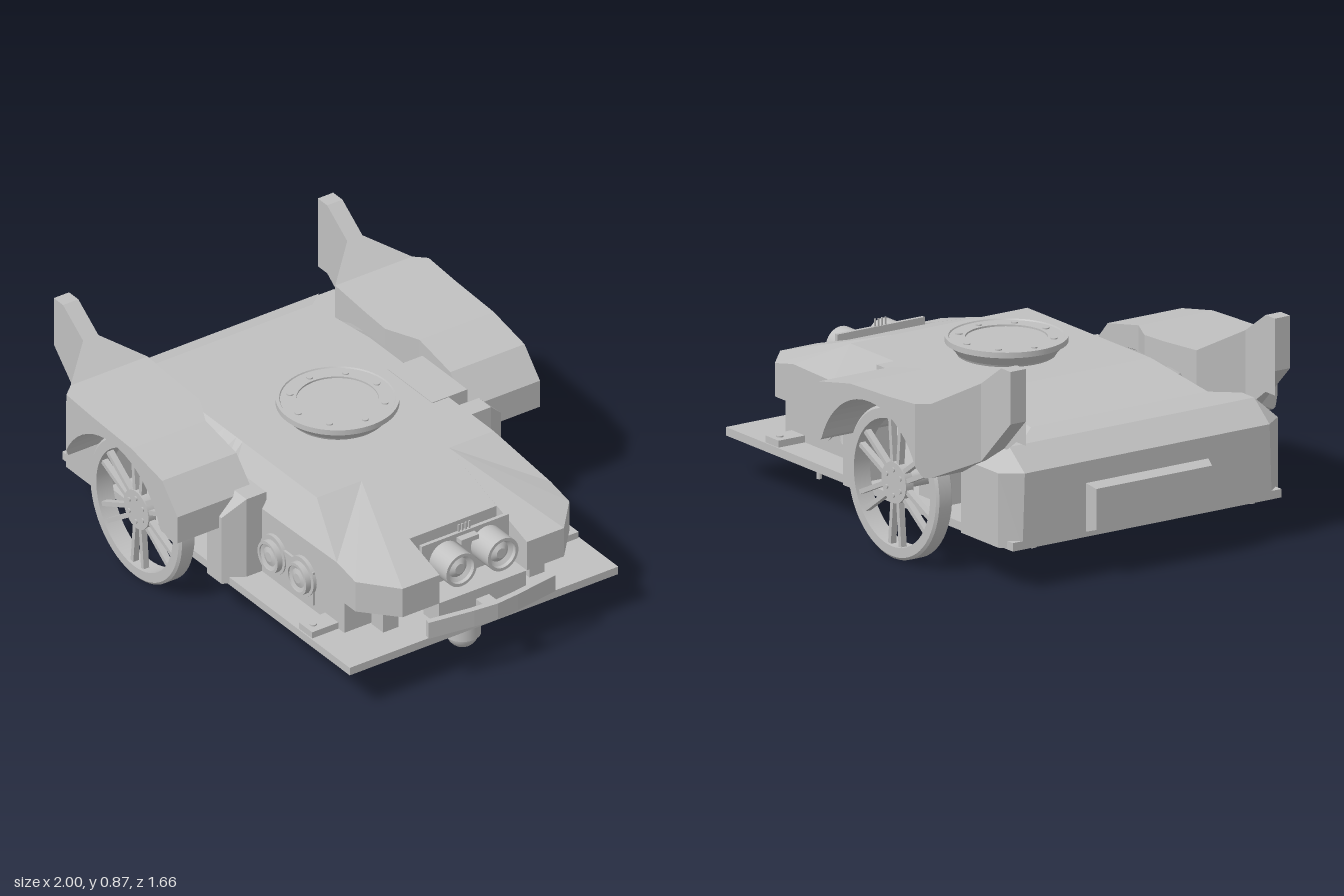
import * as THREE from 'three';
import { ConvexGeometry } from 'three/addons/geometries/ConvexGeometry.js';

const V = (x, y, z) => new THREE.Vector3(x, y, z);
const grey = new THREE.MeshStandardMaterial({ color: 0xc0c0c0, side: THREE.DoubleSide });
grey.name = 'silver grey';

export function createModel() {
  const model = new THREE.Group();
  const add = (name, geo, parent = model) => {
    const m = new THREE.Mesh(geo, grey);
    m.name = name;
    parent.add(m);
    return m;
  };
  // box from its limits
  const box = (name, x0, x1, y0, y1, z0, z1) => add(name,
    new THREE.BoxGeometry(x1 - x0, y1 - y0, Math.abs(z1 - z0))
      .translate((x0 + x1) / 2, (y0 + y1) / 2, (z0 + z1) / 2));
  // cylinder along an axis
  const cyl = (name, axis, r, len, x, y, z, parent) => {
    const g = new THREE.CylinderGeometry(r, r, len, 32);
    if (axis === 'z') g.rotateX(Math.PI / 2);
    return add(name, g.translate(x, y, z), parent);
  };
  // flat faces, each a fan of corners
  const faces = (list) => {
    const p = [];
    for (const f of list) for (let i = 1; i < f.length - 1; i++)
      for (const c of [f[0], f[i], f[i + 1]]) p.push(...c);
    const g = new THREE.BufferGeometry();
    g.setAttribute('position', new THREE.Float32BufferAttribute(p, 3));
    g.computeVertexNormals();
    return g;
  };
  // lathe about the y axis with crisp edges
  const ring = (pts, n = 64) => {
    const g = new THREE.BufferGeometry(), p = [], nor = [], at = (q, a, arr, y) =>
      arr.push(q * Math.cos(a), y, q * Math.sin(a));
    for (let k = 0; k < pts.length - 1; k++) {
      const [r0, y0] = pts[k], [r1, y1] = pts[k + 1], l = Math.hypot(r1 - r0, y1 - y0);
      for (let i = 0; i < n; i++) {
        const a = i / n * 2 * Math.PI, b = (i + 1) / n * 2 * Math.PI;
        for (const [r, y, t] of [[r0, y0, a], [r1, y1, a], [r1, y1, b], [r0, y0, a], [r1, y1, b], [r0, y0, b]]) {
          at(r, t, p, y);
          at((y1 - y0) / l, t, nor, (r0 - r1) / l);
        }
      }
    }
    g.setAttribute('position', new THREE.Float32BufferAttribute(p, 3));
    g.setAttribute('normal', new THREE.Float32BufferAttribute(nor, 3));
    return g;
  };
  const lerpKeys = (keys, x) => {
    for (let i = 1; i < keys.length; i++) if (x <= keys[i][0]) {
      const [a, b] = [keys[i - 1], keys[i]];
      return a[1] + (b[1] - a[1]) * (x - a[0]) / (b[0] - a[0]);
    }
    return keys[keys.length - 1][1];
  };
  // height of the wheel arch over x
  const arch = (x) => {
    const d = 0.33 ** 2 - (x + 0.325) ** 2;
    return d > 0 ? 0.305 + Math.sqrt(d) : 0;
  };

  // base plate
  box('basePlate', -0.95, 0.91, 0.165, 0.198, -0.615, 0.615);

  // roof, chamfers, nose, with a notch for the front sensor
  const ridge = [[-0.85, 0.545], [-0.77, 0.57], [-0.4, 0.612], [0.4, 0.612]];
  const roof = [
    [[-0.4, 0.612, -0.405], [-0.4, 0.612, 0.405], [0.4, 0.612, 0.405], [0.4, 0.612, -0.405]],
    [[-0.77, 0.57, -0.405], [-0.77, 0.57, 0.405], [-0.4, 0.612, 0.405], [-0.4, 0.612, -0.405]],
    [[-0.85, 0.545, -0.49], [-0.85, 0.545, 0.49], [-0.77, 0.57, 0.405], [-0.77, 0.57, -0.405]],
    [[0.4, 0.612, -0.2], [0.4, 0.612, 0.2], [0.71, 0.515, 0.2], [0.71, 0.515, -0.2]],
    [[0.71, 0.515, -0.2], [0.71, 0.515, 0.2], [0.71, 0.33, 0.2], [0.71, 0.33, -0.2]],
    [[0.7, 0.33, -0.49], [0.7, 0.33, 0.49], [0.77, 0.33, 0.49], [0.905, 0.33, 0.37], [0.905, 0.33, -0.37], [0.77, 0.33, -0.49]],
    [[0.7, 0.2, -0.49], [0.7, 0.2, 0.49], [0.7, 0.33, 0.49], [0.7, 0.33, -0.49]],
  ];
  const chamferX = [-0.77, -0.65, -0.62, -0.58, -0.5, -0.4, -0.2, -0.12, -0.08, -0.04, 0.4];
  for (const s of [1, -1]) {
    const low = (x) => [x, Math.min(0.575, Math.max(0.47, arch(x))), s * 0.49];
    const high = (x) => [x, lerpKeys(ridge, x), s * 0.405];
    for (let i = 1; i < chamferX.length; i++) {
      const [a, b] = [chamferX[i - 1], chamferX[i]];
      roof.push([high(a), low(a), low(b), high(b)]);
    }
    roof.push(
      [high(0.4), low(0.4), [0.65, 0.485, s * 0.49]],
      [[0.4, 0.612, s * 0.2], [0.4, 0.612, s * 0.405], [0.65, 0.485, s * 0.49], [0.77, 0.46, s * 0.49],
        [0.905, 0.455, s * 0.37], [0.905, 0.455, s * 0.2], [0.71, 0.515, s * 0.2]],
      [[0.77, 0.46, s * 0.49], [0.905, 0.455, s * 0.37], [0.905, 0.33, s * 0.37], [0.77, 0.33, s * 0.49]],
      [[0.905, 0.455, s * 0.37], [0.905, 0.455, s * 0.2], [0.905, 0.33, s * 0.2], [0.905, 0.33, s * 0.37]],
      [[0.71, 0.515, s * 0.2], [0.905, 0.455, s * 0.2], [0.905, 0.33, s * 0.2], [0.71, 0.33, s * 0.2]],
      // side wall ahead of the wheel
      [[0, 0.47, s * 0.49], [0, 0.19, s * 0.49], [0.7, 0.19, s * 0.49], [0.7, 0.33, s * 0.49],
        [0.7, 0.475, s * 0.49], [0.65, 0.485, s * 0.49], [0.4, 0.47, s * 0.49]],
      [[0.7, 0.33, s * 0.49], [0.77, 0.33, s * 0.49], [0.77, 0.46, s * 0.49], [0.7, 0.475, s * 0.49]]);
  }
  add('bodyShell', faces(roof));
  box('roofPanel', -0.18, 0.11, 0.56, 0.615, -0.49, -0.33);

  // rear body block and panel
  const rear = [];
  for (const s of [1, -1]) rear.push(
    V(-0.95, 0.17, s * 0.57), V(-0.95, 0.46, s * 0.56), V(-0.89, 0.17, s * 0.64), V(-0.89, 0.46, s * 0.64),
    V(-0.65, 0.17, s * 0.64), V(-0.65, 0.46, s * 0.64), V(-0.85, 0.54, s * 0.56), V(-0.65, 0.54, s * 0.56));
  add('rearBody', new ConvexGeometry(rear));
  const panel = [];
  for (const s of [1, -1]) panel.push(V(-0.95, 0.185, s * 0.28), V(-0.95, 0.375, s * 0.28),
    V(-0.995, 0.2, s * 0.265), V(-0.995, 0.36, s * 0.265));
  add('rearPanel', new ConvexGeometry(panel));

  // turret ring with bolts
  const turret = new THREE.Group();
  turret.name = 'turretRing';
  turret.position.set(-0.038, 0, 0);
  model.add(turret);
  add('ringFlange', ring([[0.185, 0.61], [0.19, 0.62], [0.218, 0.655], [0.232, 0.66], [0.232, 0.682], [0.218, 0.682],
    [0.215, 0.677], [0.155, 0.677], [0.155, 0.67], [0, 0.67]]), turret);
  for (let i = 0; i < 8; i++) {
    const a = i * Math.PI / 4;
    cyl('ringBolt', 'y', 0.013, 0.006, 0.18 * Math.cos(a), 0.679, 0.18 * Math.sin(a), turret);
  }

  // ultrasonic eye: stepped barrel, facing +y before turning
  const eye = (r, len) => ring([[0, 0], [r, 0], [r, len], [r * 0.82, len], [r * 0.82, len * 0.85],
    [r * 0.6, len * 0.75], [r * 0.3, len * 0.9], [0, len * 0.9]], 32);

  // front sensor
  box('frontSensorBoard', 0.775, 0.79, 0.335, 0.52, -0.2, 0.2);
  for (const s of [1, -1])
    add('frontSensorEye', eye(0.07, 0.11).rotateZ(-Math.PI / 2).translate(0.79, 0.435, s * 0.095));
  for (let i = 0; i < 4; i++) {
    const z = -0.024 + i * 0.016;
    box('sensorPin', 0.778, 0.784, 0.5, 0.55, z - 0.003, z + 0.003);
  }
  box('sensorCrystal', 0.79, 0.82, 0.485, 0.505, -0.04, 0.04);

  // bumper bar, stem and mount
  const bar = new THREE.Shape([[0.99, -0.1], [1, 0], [0.99, 0.1], [0.962, 0.29], [0.937, 0.285], [0.965, 0.1],
    [0.973, 0], [0.965, -0.1], [0.937, -0.285], [0.962, -0.29]].map(([x, z]) => new THREE.Vector2(x, z)));
  add('bumper', new THREE.ExtrudeGeometry(bar, { depth: 0.07, bevelEnabled: false })
    .rotateX(Math.PI / 2).translate(0, 0.305, 0));
  box('bumperStem', 0.85, 0.975, 0.255, 0.285, -0.03, 0.03);
  box('bumperMount', 0.8, 0.9, 0.23, 0.33, -0.2, 0.2);

  for (const s of [1, -1]) {
    // block in front of the wheel
    const blk = [];
    for (const [x, z] of [[0.02, 0.64], [0.115, 0.64], [0.165, 0.56], [0.165, 0.47], [0.02, 0.47]])
      blk.push(V(x, 0.17, s * z), V(x, 0.46, s * z), V(x, 0.54, s * Math.min(z, 0.56)));
    add('wheelFrontBlock', new ConvexGeometry(blk));

    // fender: rectangular sections along x
    const top = [[-0.97, 0.875], [-0.91, 0.875], [-0.66, 0.7], [-0.45, 0.685], [-0.2, 0.675], [0, 0.635], [0.1, 0.525]];
    const inner = [[-0.97, 0.57], [-0.78, 0.57], [-0.66, 0.43], [-0.33, 0.425], [-0.2, 0.49], [0.1, 0.49]];
    const outer = [[-0.97, 0.64], [-0.78, 0.64], [-0.62, 0.83], [0.1, 0.83]];
    const under = [[-0.97, 0.67], [-0.78, 0.48], [-0.66, 0.41], [0.1, 0.41]];
    const xs = [-0.97, -0.91, -0.78, -0.66, -0.635, -0.62, -0.45, -0.33, -0.2, 0, 0.1];
    for (let i = 0; i <= 24; i++) xs.push(-0.325 - 0.32 * Math.cos(i / 24 * Math.PI));
    xs.sort((a, b) => a - b);
    const secs = xs.map((x) => {
      const yb = Math.max(lerpKeys(under, x), arch(x));
      const yt = lerpKeys(top, x), zi = s * lerpKeys(inner, x), zo = s * lerpKeys(outer, x);
      return [[x, yb, zi], [x, yb, zo], [x, yt, zo], [x, yt, zi]];
    });
    const fl = [secs[0], secs[secs.length - 1]];
    for (let i = 1; i < secs.length; i++) {
      const [a, b] = [secs[i - 1], secs[i]];
      for (let k = 0; k < 4; k++) fl.push([a[k], a[(k + 1) % 4], b[(k + 1) % 4], b[k]]);
      // liner closing the gap down to the roof
      const drop = ([x, y, z]) => [x, Math.min(y, 0.575), z];
      if (a[0][1] > 0.575 || b[0][1] > 0.575) fl.push([a[0], b[0], drop(b[0]), drop(a[0])]);
    }
    add('fender', faces(fl));

    // wheel: rim, paired spokes, hub
    const wheel = new THREE.Group();
    wheel.name = 'wheel';
    wheel.position.set(-0.325, 0.3, s * 0.69);
    model.add(wheel);
    add('rim', ring([[0.247, -0.037], [0.285, -0.037], [0.295, -0.028], [0.295, 0.028], [0.285, 0.037], [0.247, 0.037],
      [0.247, -0.037]]).rotateX(Math.PI / 2), wheel);
    cyl('hub', 'z', 0.08, 0.035, 0, 0, s * 0.012, wheel);
    for (let i = 0; i < 6; i++) {
      const a = i * Math.PI / 3 + Math.PI / 2;
      for (const o of [-1, 1]) {
        const g = new THREE.BoxGeometry(0.19, 0.018, 0.025).translate(0.16, 0, 0).rotateZ(o * 0.09)
          .translate(0, o * 0.012, s * 0.012).rotateZ(a);
        add('spoke', g, wheel);
      }
      cyl('hubBolt', 'z', 0.009, 0.006, 0.05 * Math.cos(a), 0.05 * Math.sin(a), s * 0.032, wheel);
    }
    cyl('axle', 'z', 0.03, 0.2, -0.325, 0.3, s * 0.6);
    box('motor', -0.415, -0.235, 0.2, 0.34, s * 0.3, s * 0.54);

    // side sensors
    box('sideSensorBoard', 0.19, 0.51, 0.225, 0.37, s * 0.48, s * 0.5);
    for (const x of [0.255, 0.44]) {
      cyl('sideSensorHood', 'z', 0.08, 0.02, x, 0.322, s * 0.495);
      add('sideSensorEye', eye(0.065, 0.04).rotateX(s * Math.PI / 2).translate(x, 0.318, s * 0.488));
    }

    // mounting tabs and nose brackets
    box('mountTab', 0.575, 0.66, 0.198, 0.225, s * 0.49, s * 0.61);
    cyl('tabScrew', 'y', 0.014, 0.006, 0.617, 0.228, s * 0.575);
    box('noseBracket', 0.705, 0.78, 0.198, 0.33, s * 0.3, s * 0.37);
    // bolts hanging below the plate
    for (const [x, z] of [[0.08, 0.46], [0.13, 0.3], [0.44, 0.52], [-0.1, 0.26]]) {
      cyl('boltShaft', 'y', 0.01, 0.07, x, 0.13, s * z);
      cyl('boltHead', 'y', 0.016, 0.02, x, 0.145, s * z);
    }
    for (const [x, z] of [[-0.91, 0.5], [-0.5, 0.3], [-0.2, 0.55], [0.85, 0.55]])
      cyl('screwHead', 'y', 0.018, 0.012, x, 0.16, s * z);
  }

  // battery tray with cells lying across
  box('trayBase', 0.24, 0.71, 0.13, 0.165, -0.245, 0.245);
  for (const s of [1, -1]) box('traySide', 0.24, 0.71, 0.035, 0.14, s * 0.225, s * 0.245);
  for (const x of [0.24, 0.695]) box('trayEnd', x, x + 0.015, 0.035, 0.14, -0.245, 0.245);
  for (let i = 0; i < 3; i++) cyl('batteryCell', 'z', 0.06, 0.44, 0.325 + i * 0.15, 0.105, 0);

  // ball caster
  cyl('casterHousing', 'y', 0.07, 0.105, 0.77, 0.113, 0);
  add('casterBall', new THREE.SphereGeometry(0.062, 32, 16).translate(0.77, 0.067, 0));
  box('casterMount', 0.71, 0.85, 0.14, 0.165, -0.09, 0.09);
  return model;
}
